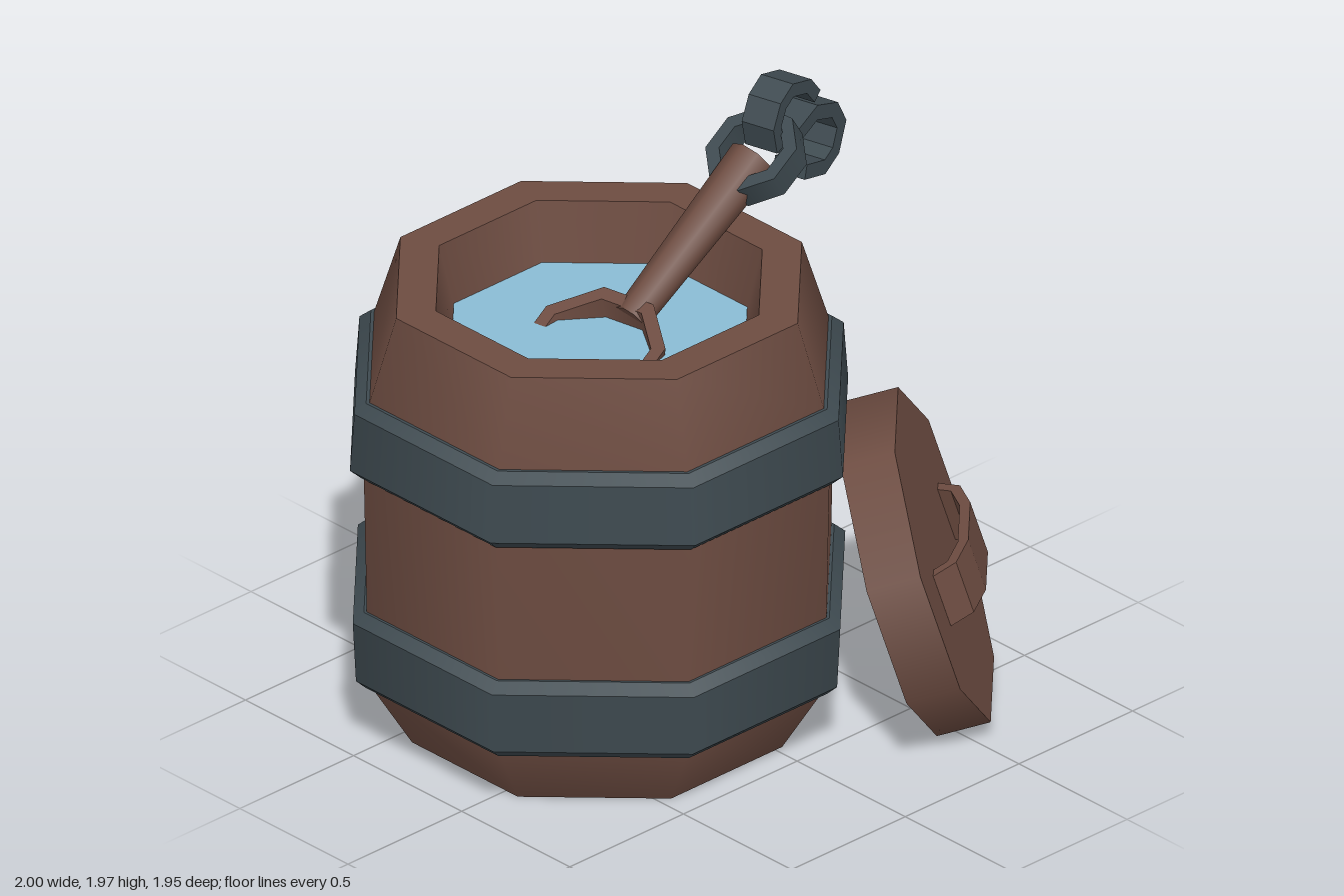
import * as THREE from 'three';
import { mergeGeometries } from 'three/addons/utils/BufferGeometryUtils.js';

const mat = (name, color) => {
  const m = new THREE.MeshStandardMaterial({ color });
  m.name = name;
  return m;
};

// Eight-sided turned form. Each run of [apothem, y] points is smooth; edges between runs are sharp.
function octagon(runs) {
  const k = 1 / Math.cos(Math.PI / 8);
  return mergeGeometries(runs.map(run => new THREE.LatheGeometry(
    run.map(([r, y]) => new THREE.Vector2(r * k, y)), 8, Math.PI / 8)));
}

// Turns a list of points into separate straight runs.
const facets = pts => pts.slice(1).map((p, i) => [pts[i], p]);

// Flat bar of given thickness bent along a 2D path, extruded to a width centred on z = 0.
function bentBar(path, thickness, width) {
  const pts = path.map(([x, y]) => new THREE.Vector2(x, y));
  const sideNormal = (a, b) => {
    const d = b.clone().sub(a).normalize();
    return new THREE.Vector2(-d.y, d.x);
  };
  const offset = s => pts.map((p, i) => {
    const n0 = sideNormal(pts[Math.max(i - 1, 0)], pts[Math.max(i, 1)]);
    const n1 = i < pts.length - 1 ? sideNormal(p, pts[i + 1]) : n0;
    const m = n0.clone().add(n1).normalize();
    return p.clone().addScaledVector(m, s * thickness / 2 / m.dot(n0));
  });
  const shape = new THREE.Shape([...offset(1), ...offset(-1).reverse()]);
  return new THREE.ExtrudeGeometry(shape, { depth: width, bevelEnabled: false })
    .translate(0, 0, -width / 2);
}

export function createModel() {
  const model = new THREE.Group();
  const wood = mat('brown wood', 0x6d4c41);
  const iron = mat('dark iron', 0x3e4a50);
  const blue = mat('water blue', 0x8abcd4);

  const add = (name, geometry, material, parent = model) => {
    const mesh = new THREE.Mesh(geometry, material);
    mesh.name = name;
    parent.add(mesh);
    return mesh;
  };
  const group = (name, x, y, z) => {
    const g = new THREE.Group();
    g.name = name;
    g.position.set(x, y, z);
    model.add(g);
    return g;
  };

  // Barrel: recessed base, bulging staves, thick rim and inner wall
  const barrel = group('barrel', -0.215, 0, -0.19);
  add('barrelBody', octagon([
    ...facets([[0, 0.15], [0.45, 0.15], [0.45, 0], [0.59, 0]]),
    [[0.59, 0], [0.73, 0.25], [0.733, 0.51], [0.742, 1.0], [0.727, 1.26], [0.64, 1.56]],
    ...facets([[0.64, 1.56], [0.515, 1.56], [0.465, 1.34]]),
  ]), wood, barrel);
  add('water', octagon([[[0.468, 1.36], [0, 1.36]]]), blue, barrel);

  // Iron hoops with bevelled edges
  add('lowerHoop', octagon(facets(
    [[0.71, 0.235], [0.735, 0.23], [0.767, 0.262], [0.777, 0.475], [0.742, 0.508], [0.71, 0.508]])), iron, barrel);
  add('upperHoop', octagon(facets(
    [[0.72, 1.0], [0.75, 1.0], [0.786, 1.035], [0.772, 1.238], [0.735, 1.27], [0.69, 1.27]])), iron, barrel);

  // Lid leaning on the barrel, with its face towards local +z
  const lid = group('lid', 0.588, 0.553, 0.563);
  lid.rotation.set(-0.302, Math.PI / 4, 0, 'YXZ');
  add('lidDisc', octagon(facets(
    [[0, -0.18], [0.514, -0.18], [0.514, 0], [0, 0]])).rotateX(Math.PI / 2), wood, lid);
  add('lidHandle', bentBar(
    [[-0.29, -0.01], [-0.24, 0.06], [-0.12, 0.095], [0.12, 0.095], [0.24, 0.06], [0.29, -0.01]],
    0.035, 0.19).rotateX(Math.PI / 2), wood, lid);

  // Ladle: tapered pole and a tilted cup half under water
  const low = new THREE.Vector3(-0.1, 1.385, -0.165);
  const high = new THREE.Vector3(0.47, 1.735, -0.2);
  const along = high.clone().sub(low);
  const pole = add('ladlePole', new THREE.CylinderGeometry(0.08, 0.058, along.length(), 8), wood);
  pole.position.copy(low).add(high).multiplyScalar(0.5);
  pole.quaternion.setFromUnitVectors(new THREE.Vector3(0, 1, 0), along.normalize());

  const cup = add('ladleCup', octagon(facets(
    [[0, -0.2], [0.18, -0.2], [0.235, 0], [0.19, 0], [0.15, -0.17], [0, -0.17]])), wood);
  cup.position.set(-0.29, 1.35, -0.155);
  cup.rotation.set(0, 0.18, 0.44);

  // Iron ring through the pole end
  const ring = add('poleRing', octagon(facets(
    [[0.105, -0.045], [0.15, -0.045], [0.15, 0.045], [0.105, 0.045], [0.105, -0.045]])), iron);
  ring.position.set(0.485, 1.74, -0.2);
  ring.rotation.set(0, 0.06, 0.56);

  // Two open hooks hanging from the ring
  const hooks = group('hooks', 0.5, 0, -0.19);
  hooks.rotation.y = 0.25;
  add('upperHook', bentBar(
    [[0.02, 1.77], [0, 1.855], [0.035, 1.92], [0.095, 1.95], [0.19, 1.92], [0.24, 1.86]],
    0.045, 0.12), iron, hooks);
  add('lowerHook', bentBar(
    [[0.06, 1.745], [0.14, 1.77], [0.24, 1.80], [0.345, 1.76], [0.385, 1.69], [0.35, 1.61], [0.285, 1.58], [0.17, 1.615]],
    0.05, 0.12), iron, hooks);

  return model;
}
